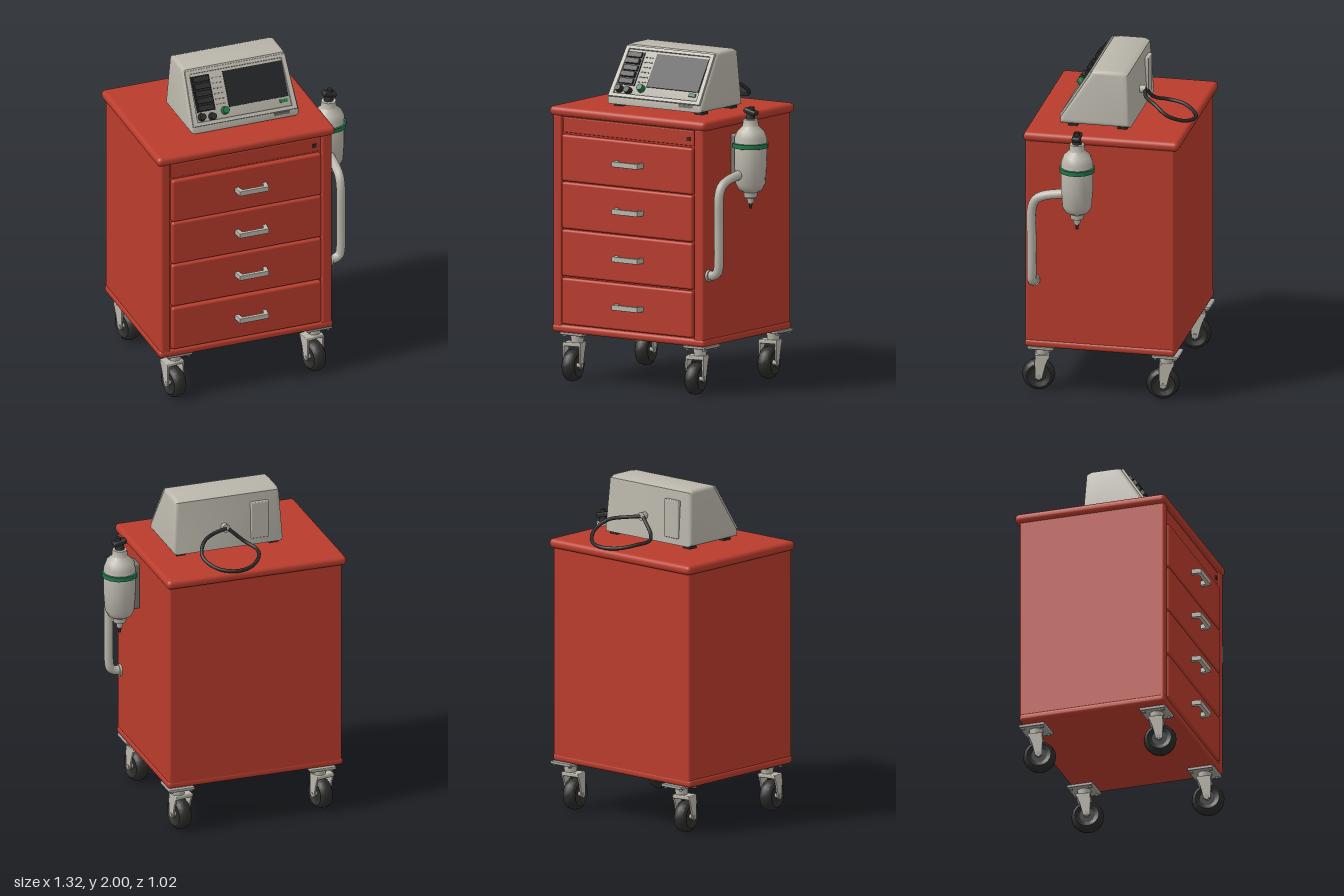
import * as THREE from 'three';
import { toCreasedNormals } from 'three/addons/utils/BufferGeometryUtils.js';
import { RoundedBoxGeometry } from 'three/addons/geometries/RoundedBoxGeometry.js';

const material = (name, color) => Object.assign(new THREE.MeshStandardMaterial({ color }), { name });
const red = material('cabinet red', 0xb93c2c);
const shell = material('warm grey', 0xbab6ab);
const steel = material('steel grey', 0xa3a29d);
const rubber = material('rubber black', 0x2b2b2a);
const glass = material('screen black', 0x222324);
const green = material('marker green', 0x23774a);
const vent = material('vent grey', 0x77766f);

const V = (x, y, z) => new THREE.Vector3(x, y, z);

function add(parent, name, geometry, mat, x = 0, y = 0, z = 0) {
  const mesh = new THREE.Mesh(geometry, mat);
  mesh.name = name;
  mesh.position.set(x, y, z);
  parent.add(mesh);
  return mesh;
}

function group(parent, name, x = 0, y = 0, z = 0) {
  const g = new THREE.Group();
  g.name = name;
  g.position.set(x, y, z);
  parent.add(g);
  return g;
}

// Box given by its limits, with rounded edges when r > 0
function block(parent, name, mat, [x0, x1], [y0, y1], [z0, z1], r = 0) {
  const s = [x1 - x0, y1 - y0, z1 - z0];
  const geometry = r ? new RoundedBoxGeometry(...s, 3, r) : new THREE.BoxGeometry(...s);
  return add(parent, name, geometry, mat, (x0 + x1) / 2, (y0 + y1) / 2, (z0 + z1) / 2);
}

const shapeOf = (points) => new THREE.Shape(points.map(([x, y]) => new THREE.Vector2(x, y)));
const lathe = (points, sides) => toCreasedNormals(
  new THREE.LatheGeometry(points.map(([r, y]) => new THREE.Vector2(r, y)), sides), 0.75);
const tube = (points, radius, steps, closed = false) =>
  new THREE.TubeGeometry(new THREE.CatmullRomCurve3(points, closed, 'centripetal'), steps, radius, 10);

// Extrudes a (z, y) profile along x, centred on x = 0
function sideExtrude(points, width, options = {}) {
  const g = new THREE.ExtrudeGeometry(shapeOf(points), { depth: width, bevelEnabled: false, ...options });
  return g.translate(0, 0, -width / 2).rotateY(-Math.PI / 2);
}

function buildCabinet(root) {
  const g = group(root, 'cabinet');
  block(g, 'cabinetBody', red, [-0.635, 0.45], [0.3, 1.61], [-0.46, 0.425], 0.015);
  block(g, 'worktop', red, [-0.657, 0.467], [1.588, 1.645], [-0.486, 0.453], 0.026);
  // raised frame around the drawers
  block(g, 'rightPost', red, [-0.635, -0.572], [0.3, 1.6], [0.39, 0.442], 0.015);
  block(g, 'leftPost', red, [0.382, 0.45], [0.3, 1.6], [0.39, 0.442], 0.015);
  block(g, 'baseRail', red, [-0.643, 0.457], [0.298, 0.346], [-0.462, 0.445], 0.02);
  block(g, 'topPanel', red, [-0.567, 0.377], [1.493, 1.585], [0.4, 0.432], 0.006);
  block(g, 'lock', rubber, [0.328, 0.352], [1.522, 1.546], [0.425, 0.436]);

  const handleShape = shapeOf([[-0.098, 0], [-0.09, 0.062], [0.09, 0.062], [0.098, 0],
    [0.078, 0], [0.068, 0.042], [-0.068, 0.042], [-0.078, 0]]);
  const handleGeo = new THREE.ExtrudeGeometry(handleShape, {
    depth: 0.024, bevelSize: 0.004, bevelThickness: 0.004, bevelSegments: 2, bevelOffset: -0.002,
  }).translate(0, 0, -0.012).rotateX(Math.PI / 2);
  [0.35, 0.638, 0.922, 1.205].forEach((y) => {
    block(g, 'drawer', red, [-0.567, 0.377], [y, y + 0.278], [0.38, 0.452], 0.014);
    add(g, 'drawerHandle', handleGeo, shell, -0.07, y + 0.142, 0.447);
  });
}

function buildCasters(root) {
  const tyre = lathe([[0.045, -0.03], [0.072, -0.042], [0.09, -0.03], [0.098, 0],
    [0.09, 0.03], [0.072, 0.042], [0.045, 0.03]], 18).rotateZ(Math.PI / 2);
  const hub = new THREE.CylinderGeometry(0.05, 0.05, 0.054, 16).rotateZ(Math.PI / 2);
  const axle = new THREE.CylinderGeometry(0.014, 0.014, 0.12, 10).rotateZ(Math.PI / 2);
  const leg = sideExtrude([[-0.065, 0.232], [0.02, 0.232], [0.024, 0.19], [0.02, 0.09],
    [0, 0.078], [-0.02, 0.09], [-0.04, 0.17]], 0.01);
  const stem = new THREE.CylinderGeometry(0.042, 0.036, 0.055, 14);
  for (const x of [-0.53, 0.355]) for (const z of [0.38, -0.37]) {
    const c = group(root, 'caster', x, 0, z);
    block(c, 'mountPlate', steel, [-0.06, 0.1], [0.282, 0.3], [-0.11, 0.05], 0.005);
    for (const bx of [-0.04, 0.08]) for (const bz of [-0.09, 0.03]) {
      add(c, 'plateBolt', new THREE.CylinderGeometry(0.011, 0.011, 0.012, 6), steel, bx, 0.278, bz);
    }
    add(c, 'swivelStem', stem, shell, 0.015, 0.257, -0.025);
    const swivel = group(c, 'swivel');
    swivel.rotation.y = 0.2;
    add(swivel, 'tyre', tyre, rubber, 0, 0.1, 0);
    add(swivel, 'hub', hub, rubber, 0, 0.1, 0);
    add(swivel, 'axle', axle, steel, 0, 0.1, 0);
    for (const s of [-1, 1]) add(swivel, 'forkLeg', leg, shell, s * 0.053, 0, 0);
    block(swivel, 'forkCrown', shell, [-0.058, 0.058], [0.212, 0.236], [-0.065, 0.022], 0.006);
  }
}

function buildMonitor(root) {
  const m = group(root, 'monitor', -0.03, 0, 0);
  // wedge housing, slightly narrower at the top
  const bevel = 0.024;
  let housing = sideExtrude([[-0.162, 1.662], [0.262, 1.662], [0.262, 1.7], [0.075, 1.995],
    [0.03, 2], [-0.11, 2], [-0.142, 1.985]], 0.69 - 2 * bevel,
  { bevelEnabled: true, bevelSize: bevel, bevelThickness: bevel, bevelOffset: -bevel, bevelSegments: 4 });
  const p = housing.attributes.position;
  for (let i = 0; i < p.count; i++) p.setX(i, p.getX(i) * (1 - 0.06 * (p.getY(i) - 1.66) / 0.34));
  housing = toCreasedNormals(housing, 0.6);
  add(m, 'housing', housing, shell);
  for (const x of [-0.29, 0.29]) for (const z of [0.19, -0.11]) {
    block(m, 'monitorFoot', rubber, [x - 0.028, x + 0.028], [1.643, 1.667], [z - 0.028, z + 0.028]);
  }
  block(m, 'batteryCover', shell, [-0.25, -0.14], [1.7, 1.93], [-0.168, -0.14], 0.006);
  block(m, 'frontVent', vent, [0.18, 0.28], [1.685, 1.703], [0.25, 0.265]);

  // sloped control face; local y runs up the slope
  const f = group(m, 'controlFace', 0, 1.845, 0.1685);
  f.rotation.x = -0.568;
  const rim = shapeOf([[-0.328, -0.165], [0.328, -0.165], [0.315, 0.165], [-0.315, 0.165]]);
  rim.holes.push(new THREE.Path([[-0.3, -0.145], [-0.292, 0.147], [0.292, 0.147], [0.3, -0.145]]
    .map(([x, y]) => new THREE.Vector2(x, y))));
  add(f, 'bezel', new THREE.ExtrudeGeometry(rim, {
    depth: 0.008, bevelSize: 0.004, bevelThickness: 0.004, bevelSegments: 2, bevelOffset: -0.002,
  }), shell);
  block(f, 'screen', glass, [-0.085, 0.288], [-0.085, 0.13], [0, 0.008]);
  block(f, 'connectorPanel', glass, [-0.288, -0.172], [-0.085, 0.13], [0, 0.008]);
  for (let i = 0; i < 5; i++) {
    const y = 0.108 - i * 0.043;
    block(f, 'connector', rubber, [-0.28, -0.182], [y - 0.016, y + 0.016], [0, 0.022 + 0.008 * (i % 2)]);
  }
  for (let r = 0; r < 6; r++) for (let c = 0; c < 3; c++) {
    block(f, 'indicator', vent, [-0.158 + c * 0.022, -0.146 + c * 0.022],
      [0.1 - r * 0.032, 0.106 - r * 0.032], [0, 0.006]);
  }
  const knob = new THREE.CylinderGeometry(0.02, 0.025, 0.035, 12).rotateX(Math.PI / 2);
  add(f, 'selectorKnob', knob, rubber, -0.265, -0.115, 0.017);
  add(f, 'volumeKnob', knob, rubber, -0.2, -0.122, 0.017);
  add(f, 'greenKnob', knob, green, -0.115, -0.1, 0.017);
  block(f, 'greenKey', green, [0.23, 0.278], [-0.117, -0.097], [0, 0.009]);

  // power lead looping down on to the worktop
  add(m, 'leadSocket', new THREE.CylinderGeometry(0.022, 0.026, 0.04, 10).rotateX(Math.PI / 2),
    shell, 0.025, 1.8, -0.17);
  add(root, 'powerLead', tube([V(-0.005, 1.8, -0.185), V(0.09, 1.785, -0.21), V(0.17, 1.77, -0.28),
    V(0.205, 1.72, -0.36), V(0.15, 1.675, -0.45), V(0.04, 1.66, -0.497), V(-0.07, 1.662, -0.46),
    V(-0.14, 1.68, -0.38), V(-0.158, 1.69, -0.29), V(-0.11, 1.715, -0.22), V(-0.02, 1.795, -0.185)],
  0.011, 64), rubber);
}

function buildBottle(root) {
  const b = group(root, 'suctionBottle', 0.557, 0, 0.105);
  add(b, 'bottleBody', lathe([[0, 1.13], [0.018, 1.13], [0.022, 1.16], [0.038, 1.165], [0.042, 1.195],
    [0.07, 1.21], [0.088, 1.245], [0.096, 1.36], [0.096, 1.52], [0.08, 1.56], [0.048, 1.59],
    [0.044, 1.63], [0, 1.635]], 14), shell);
  add(b, 'greenBand', lathe([[0.09, 1.458], [0.106, 1.462], [0.106, 1.488], [0.09, 1.492]], 14), green);
  add(b, 'drainTip', new THREE.CylinderGeometry(0.012, 0.008, 0.04, 8), rubber, 0, 1.118, 0);
  // valve
  add(b, 'valveNeck', new THREE.CylinderGeometry(0.022, 0.03, 0.05, 10), rubber, 0, 1.65, 0);
  const lever = block(b, 'valveLever', rubber, [-0.04, 0.045], [1.66, 1.69], [-0.025, 0.025], 0.01);
  lever.rotation.z = -0.25;
  add(b, 'valveKnob', new THREE.CylinderGeometry(0.016, 0.02, 0.03, 8), rubber, 0.008, 1.69, 0);
  // wall bracket and support pipe
  block(b, 'wallBracket', vent, [-0.112, -0.06], [1.25, 1.54], [-0.05, 0.05], 0.012);
  add(root, 'supportPipe', tube([V(0.535, 1.31, 0.15), V(0.53, 1.3, 0.22), V(0.528, 1.282, 0.31),
    V(0.526, 1.255, 0.36), V(0.525, 1.2, 0.384), V(0.525, 1, 0.386), V(0.524, 0.79, 0.386),
    V(0.515, 0.745, 0.386), V(0.49, 0.727, 0.386), V(0.44, 0.722, 0.386)], 0.028, 48), shell);
  add(root, 'pipeFlange', new THREE.CylinderGeometry(0.036, 0.036, 0.016, 12).rotateZ(Math.PI / 2),
    shell, 0.456, 0.722, 0.386);
}

export function createModel() {
  const root = new THREE.Group();
  root.name = 'medicalCart';
  buildCabinet(root);
  buildCasters(root);
  buildMonitor(root);
  buildBottle(root);
  return root;
}
